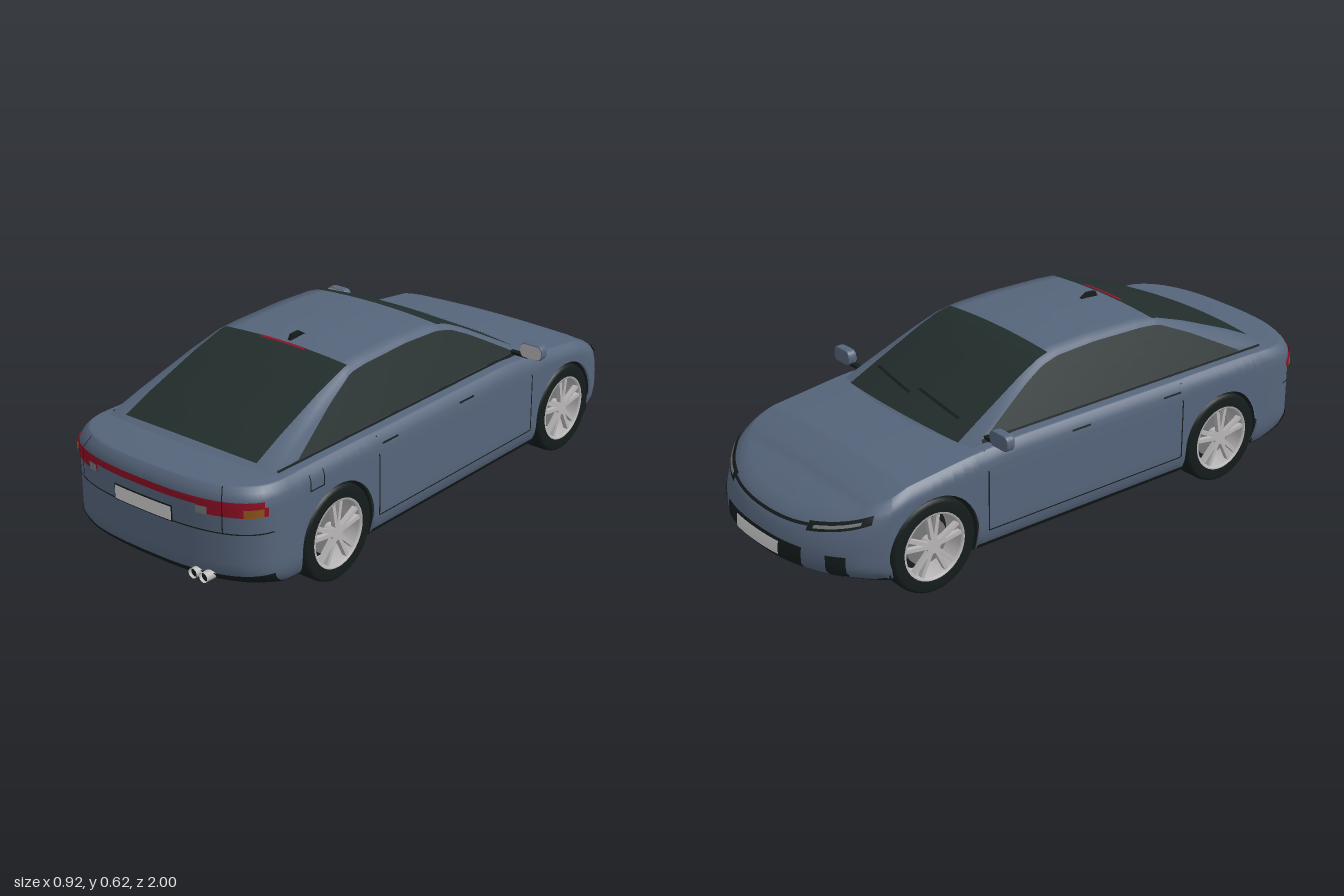
import * as THREE from 'three';

const material = (name, color) => Object.assign(new THREE.MeshStandardMaterial({ color, side: THREE.DoubleSide }), { name });
const M = {
  paint: material('bluePaint', 0x56657b), glass: material('darkGlass', 0x222d2c), black: material('blackTrim', 0x151c1c),
  red: material('redLamp', 0x8f1025), amber: material('amberLamp', 0x8f5519), silver: material('silver', 0xb9b7b8),
  plate: material('plateWhite', 0xd2d2d2), grey: material('greyLamp', 0x77797a),
};
const clamp = v => Math.min(1, Math.max(0, v));
const R = 0.165, AXLES = [0.57, -0.62], AXLE_Y = 0.155;
const BELT = [[-1, 0.285], [-0.95, 0.305], [-0.85, 0.34], [-0.7, 0.372], [-0.45, 0.403], [-0.3, 0.415], [1, 0.415]];
const ROOF = [[-0.48, 0.412], [-0.36, 0.474], [-0.2, 0.556], [-0.12, 0.591], [-0.05, 0.606], [0.1, 0.612], [0.3, 0.608],
  [0.38, 0.601], [0.5, 0.562], [0.7, 0.483], [0.84, 0.42]];

function table(rows, z) {
  let k = 1;
  while (k < rows.length - 1 && z > rows[k][0]) k++;
  const [a, b] = [rows[k - 1], rows[k]];
  return a[1] + (b[1] - a[1]) * clamp((z - a[0]) / (b[0] - a[0]));
}

// Smooth surface through rows of points
function sheet(rows) {
  const n = rows[0].length, index = [];
  for (let i = 0; i < rows.length - 1; i++) for (let j = 0; j < n - 1; j++) {
    const a = i * n + j, b = a + n;
    index.push(a, b, a + 1, b, b + 1, a + 1);
  }
  const g = new THREE.BufferGeometry();
  g.setAttribute('position', new THREE.Float32BufferAttribute(rows.flat(2), 3));
  g.setIndex(index);
  g.computeVertexNormals();
  return g;
}
const range = (a, b, n) => Array.from({ length: n + 1 }, (_, i) => a + (b - a) * i / n);

// Plan outline: straight flanks with superellipse ends
const END = { 1: [0.8, 0.19, 2.6], '-1': [0.74, 0.26, 2.2] };
function arc(end, x0, x1, n = 16) {
  const [z0, depth, p] = END[end];
  const angle = x => Math.acos(Math.sign(x) * Math.abs(x / 0.39) ** (p / 2));
  return range(angle(x0), angle(x1), n).map(a => {
    const c = Math.cos(a);
    return [0.39 * Math.sign(c) * Math.abs(c) ** (2 / p), end * (z0 + depth * Math.abs(Math.sin(a)) ** (2 / p))];
  });
}
function widthAt(z) {
  const [z0, depth, p] = END[z > 0 ? 1 : -1];
  return 0.39 * (1 - clamp((Math.abs(z) - z0) / depth) ** p) ** (1 / p);
}
const flank = (z0, z1, side, n = 6) => range(z0, z1, n).map(z => [side * widthAt(z), z]);

// Point on the body wall at an outline station and height
function wall([x, z], y, off = 0) {
  const d = table(BELT, z) - y, r = clamp((Math.abs(z) - 0.7) / 0.2);
  const s = clamp(1 - d / 0.045) ** 2, b = clamp(1 - (y - 0.08) / 0.07) ** 2;
  const i = 0.025 * s + 0.025 * b - off;
  const zi = i + 0.07 * b + (z < 0 ? 0.05 * clamp(1 - d / 0.12) ** 1.5 : 0);
  return [x * (1 - i / 0.39), y, z - Math.sign(z) * r * zi];
}
const archAt = z => AXLES.find(c => Math.abs(z - c) <= R);
function lowerEdge(z) {
  const c = archAt(z);
  return c === undefined ? 0.085 : AXLE_Y + Math.sqrt(Math.max(0, R * R - (z - c) ** 2));
}

// Point on the cabin: u = 0..1 up the side, 1..2 from the roof edge to the centre
const edgeY = z => table(ROOF, z) - 0.013;
const cabinX = y => 0.335 - 0.075 * clamp((y - 0.415) / 0.18);
function bow(x, y, z) {
  const shift = z < -0.07 ? 0.03 * clamp((-0.07 - z) / 0.41) : -0.02 * clamp((z - 0.36) / 0.48);
  return [x, y, z + shift * (x / 0.33) ** 2];
}
const cabinSide = (z, y, side, off = 0) => bow(side * (cabinX(y) + off), y, z);
function cabinTop(z, x, off = 0) {
  const e = cabinX(edgeY(z));
  return bow(x, edgeY(z) + 0.013 * (1 - (x / e) ** 2) + off, z);
}

export function createModel() {
  const car = new THREE.Group();
  const add = (name, geometry, mat, pos = [0, 0, 0], parent = car) => {
    const m = new THREE.Mesh(geometry, mat);
    m.name = name;
    m.position.set(...pos);
    parent.add(m);
    return m;
  };
  const box = (name, size, pos, mat, parent) => add(name, new THREE.BoxGeometry(...size), mat, pos, parent);
  // Thin plate laid on the body wall
  const patch = (name, stations, y0, y1, mat, off = 0.003) =>
    add(name, sheet(stations.map(s => range(y0, y1, 4).map(y => wall(s, y, off)))), mat);
  // Plate following the belt height
  const beltPatch = (name, stations, d0, d1, mat, off = 0.003) =>
    add(name, sheet(stations.map(s => range(d0, d1, 3).map(d => wall(s, table(BELT, s[1]) - d, off)))), mat);

  // Body shell with wheel arches, bonnet and boot deck
  const zs = range(0.86, -0.86, 44);
  for (const c of AXLES) zs.push(c + R + 0.001, c - R - 0.001, ...range(0, Math.PI, 20).map(a => c + R * 0.9999 * Math.cos(a)));
  zs.sort((a, b) => b - a);
  const stations = [...arc(1, 0, widthAt(0.88)), ...zs.map(z => [widthAt(z), z]), ...arc(-1, widthAt(-0.88), 0)];
  const shell = stations.map(s => {
    const lo = lowerEdge(s[1]), top = table(BELT, s[1]);
    const side = range(0, 1, 14).map(v => wall(s, lo + (top - lo) * (0.5 - 0.5 * Math.cos(Math.PI * v))));
    const [ex, ey, ez] = side[14];
    const lid = range(1, -1, 12).slice(1, -1).map(t => [ex * t, ey + 0.012 * (ex / 0.365) ** 2 * (1 - t * t), ez]);
    return [...side, ...lid, ...side.map(([x, y, z]) => [-x, y, z]).reverse()];
  });
  add('bodyShell', sheet(shell), M.paint);
  add('underbody', sheet(stations.map(s => {
    const [x, , z] = wall(s, 0.085), w = archAt(s[1]) === undefined ? x : 0.275;
    return [[w, 0.082, z], [0, 0.075, z], [-w, 0.082, z]];
  })), M.black);

  // Cabin shell and glass
  add('cabin', sheet(range(-0.48, 0.84, 66).map(z => {
    const e = cabinX(edgeY(z));
    const side = sgn => range(0.39, edgeY(z), 5).map(y => cabinSide(z, y, sgn));
    return [...side(1), ...range(e, -e, 12).slice(1, -1).map(x => cabinTop(z, x)), ...side(-1).reverse()];
  })), M.paint);
  const screen = (name, z0, z1, w0, w1) => add(name, sheet(range(z0, z1, 20).map((z, i) => {
    const w = w0 + (w1 - w0) * i / 20;
    return range(-w, w, 12).map(x => cabinTop(z, x, 0.005));
  })), M.glass);
  screen('windscreen', -0.475, -0.075, 0.285, 0.25);
  screen('rearWindow', 0.365, 0.805, 0.25, 0.268);
  for (const side of [1, -1]) {
    add('sideWindow', sheet(range(-0.42, 0.7, 50).map(z => {
      const top = Math.max(0.424, edgeY(z) - 0.01 - 0.1 * Math.max(0, z - 0.36));
      return range(0.424, top, 4).map(y => cabinSide(z, y, side, 0.004));
    })), M.glass);
    add('windowTrim', sheet(range(-0.43, 0.8, 20).map(z => [0.412, 0.424].map(y => cabinSide(z, y, side, 0.005)))), M.black);
  }
  add('highBrakeLamp', sheet([0.368, 0.38].map(z => range(-0.09, 0.09, 6).map(x => cabinTop(z, x, 0.008)))), M.red);
  for (const x0 of [-0.22, 0.02]) {
    add('wiper', sheet(range(0, 1, 6).map(t => [0, 0.009].map(d => cabinTop(-0.415 + 0.025 * t + d, x0 + 0.22 * t, 0.01)))), M.black);
  }
  const fin = new THREE.Shape([[0.27, 0.605], [0.345, 0.605], [0.335, 0.622], [0.3, 0.624]].map(p => new THREE.Vector2(-p[0], p[1])));
  add('antennaFin', new THREE.ExtrudeGeometry(fin, { depth: 0.012, bevelEnabled: false }), M.black, [-0.006, 0, 0]).rotation.y = Math.PI / 2;

  // Rear lamps, boot seams, plate and bumper
  patch('rearLampStrip', arc(1, -0.375, 0.375, 40), 0.355, 0.377, M.red);
  patch('rearNumberPlate', arc(1, -0.113, 0.113), 0.278, 0.322, M.plate, 0.006);
  patch('rearPlateFrame', arc(1, -0.117, 0.117), 0.274, 0.326, M.black, 0.004);
  patch('rearBumperBase', arc(1, -0.385, 0.385, 40), 0.083, 0.143, M.black);
  patch('bootSeam', arc(1, -0.385, 0.385, 40), 0.274, 0.278, M.black, 0.002);
  for (const s of [1, -1]) {
    patch('rearLamp', arc(1, s * 0.2, s * 0.38), 0.33, 0.358, M.red);
    patch('rearLampWrap', flank(0.93, 0.88, s), 0.33, 0.377, M.red, 0.0035);
    patch('rearIndicator', arc(1, s * 0.335, s * 0.374), 0.331, 0.357, M.amber, 0.006);
    patch('reverseLamp', arc(1, s * 0.2, s * 0.236), 0.33, 0.354, M.grey, 0.006);
    patch('bootSideSeam', arc(1, s * 0.279, s * 0.282, 1), 0.276, 0.414, M.black, 0.005);
  }
  for (const x of [0.195, 0.237]) {
    const pipe = add('exhaustPipe', new THREE.CylinderGeometry(0.016, 0.016, 0.1, 20, 1, true), M.silver, [x, 0.134, 0.945]);
    pipe.rotation.x = Math.PI / 2;
    add('exhaustBore', new THREE.CircleGeometry(0.0145, 20), M.black, [x, 0.134, 0.985]);
  }

  // Nose: lamps, grille, vents and plate
  patch('frontLip', arc(-1, -0.38, 0.38, 40), 0.083, 0.103, M.black);
  patch('frontGrille', arc(-1, -0.2, 0.2), 0.125, 0.195, M.black);
  patch('frontNumberPlate', arc(-1, -0.113, 0.113), 0.145, 0.188, M.plate, 0.007);
  beltPatch('noseSeam', arc(-1, -0.25, 0.25, 24), 0.03, 0.038, M.black);
  for (const s of [1, -1]) {
    beltPatch('headlamp', arc(-1, s * 0.2, s * 0.365), 0.024, 0.05, M.black, 0.004);
    beltPatch('headlampLens', arc(-1, s * 0.22, s * 0.345), 0.032, 0.041, M.grey, 0.006);
    patch('frontVent', arc(-1, s * 0.275, s * 0.325), 0.12, 0.19, M.black);
  }

  // Doors, sills and mirrors
  for (const s of [1, -1]) {
    for (const z of [0.38, -0.42]) patch('doorSeam', flank(z, z + 0.005, s, 1), 0.145, 0.405, M.black, 0.002);
    patch('sillSeam', flank(0.38, -0.42, s), 0.143, 0.147, M.black, 0.002);
    patch('sill', flank(0.404, -0.454, s), 0.083, 0.1, M.black);
    for (const z of [0.37, -0.015]) patch('doorHandle', flank(z, z - 0.075, s), 0.378, 0.384, M.black, 0.004);
    const mirror = new THREE.Group();
    mirror.name = 'doorMirror';
    mirror.position.set(s * 0.414, 0.447, -0.38);
    const oval = new THREE.Shape();
    oval.moveTo(-0.022, -0.023).lineTo(0.022, -0.023).quadraticCurveTo(0.041, -0.023, 0.041, 0)
      .quadraticCurveTo(0.041, 0.023, 0.022, 0.023).lineTo(-0.022, 0.023)
      .quadraticCurveTo(-0.041, 0.023, -0.041, 0).quadraticCurveTo(-0.041, -0.023, -0.022, -0.023);
    const housing = new THREE.ExtrudeGeometry(oval, { depth: 0.018, bevelSize: 0.003, bevelThickness: 0.006, bevelSegments: 2, curveSegments: 8 });
    add('mirrorHousing', housing, M.paint, [0, 0, -0.014], mirror);
    add('mirrorGlass', new THREE.ShapeGeometry(oval), M.silver, [0, 0, 0.0115], mirror);
    box('mirrorArm', [0.07, 0.01, 0.018], [-s * 0.05, -0.022, 0], M.black, mirror);
    car.add(mirror);
  }
  // Fuel flap outline
  for (const z of [0.7, 0.64]) patch('fuelFlapSeam', flank(z, z - 0.004, 1, 1), 0.345, 0.395, M.black, 0.002);
  patch('fuelFlapSeam', flank(0.7, 0.636, 1), 0.343, 0.347, M.black, 0.002);

  // Wheels with five twin spokes, inside dark wheel housings
  const tyre = [[0.108, -0.05], [0.143, -0.05], [0.152, -0.043], [0.155, -0.032], [0.155, 0.032], [0.152, 0.043], [0.143, 0.05], [0.112, 0.048]];
  const rim = [[0.114, 0.047], [0.106, 0.049], [0.102, 0.04], [0.1, -0.03]];
  const lathe = pts => new THREE.LatheGeometry(pts.map(p => new THREE.Vector2(...p)), 40).rotateZ(-Math.PI / 2);
  for (const zc of AXLES) for (const s of [1, -1]) {
    const wheel = new THREE.Group();
    wheel.name = 'wheel';
    wheel.position.set(s * 0.339, AXLE_Y, zc);
    wheel.rotation.y = s > 0 ? 0 : Math.PI;
    add('tyre', lathe(tyre), M.black, [0, 0, 0], wheel);
    add('rim', lathe(rim), M.silver, [0, 0, 0], wheel);
    const disc = (r, w) => new THREE.CylinderGeometry(r, r, w, 32).rotateZ(Math.PI / 2);
    add('wheelBack', disc(0.109, 0.01), M.black, [-0.04, 0, 0], wheel);
    add('brakeDisc', disc(0.075, 0.012), M.grey, [0, 0, 0], wheel);
    add('hub', disc(0.024, 0.04), M.silver, [0.024, 0, 0], wheel);
    for (let k = 0; k < 5; k++) for (const e of [-1, 1]) {
      const spoke = new THREE.BoxGeometry(0.016, 0.09, 0.013).translate(0.036, 0.06, 0).rotateX(k * Math.PI * 0.4 + e * 0.17);
      add('spoke', spoke, M.silver, [0, 0, 0], wheel);
    }
    car.add(wheel);
    add('archLiner', sheet(range(-0.42, Math.PI + 0.42, 28).map(a =>
      [0.275, 0.38].map(x => [s * x, AXLE_Y + R * Math.sin(a), zc + R * Math.cos(a)]))), M.black);
    add('archInnerWall', sheet(range(0, Math.PI, 20).map(a =>
      [0.08, AXLE_Y + R * Math.sin(a)].map(y => [s * 0.275, y, zc + R * Math.cos(a)]))), M.black);
  }
  return car;
}
